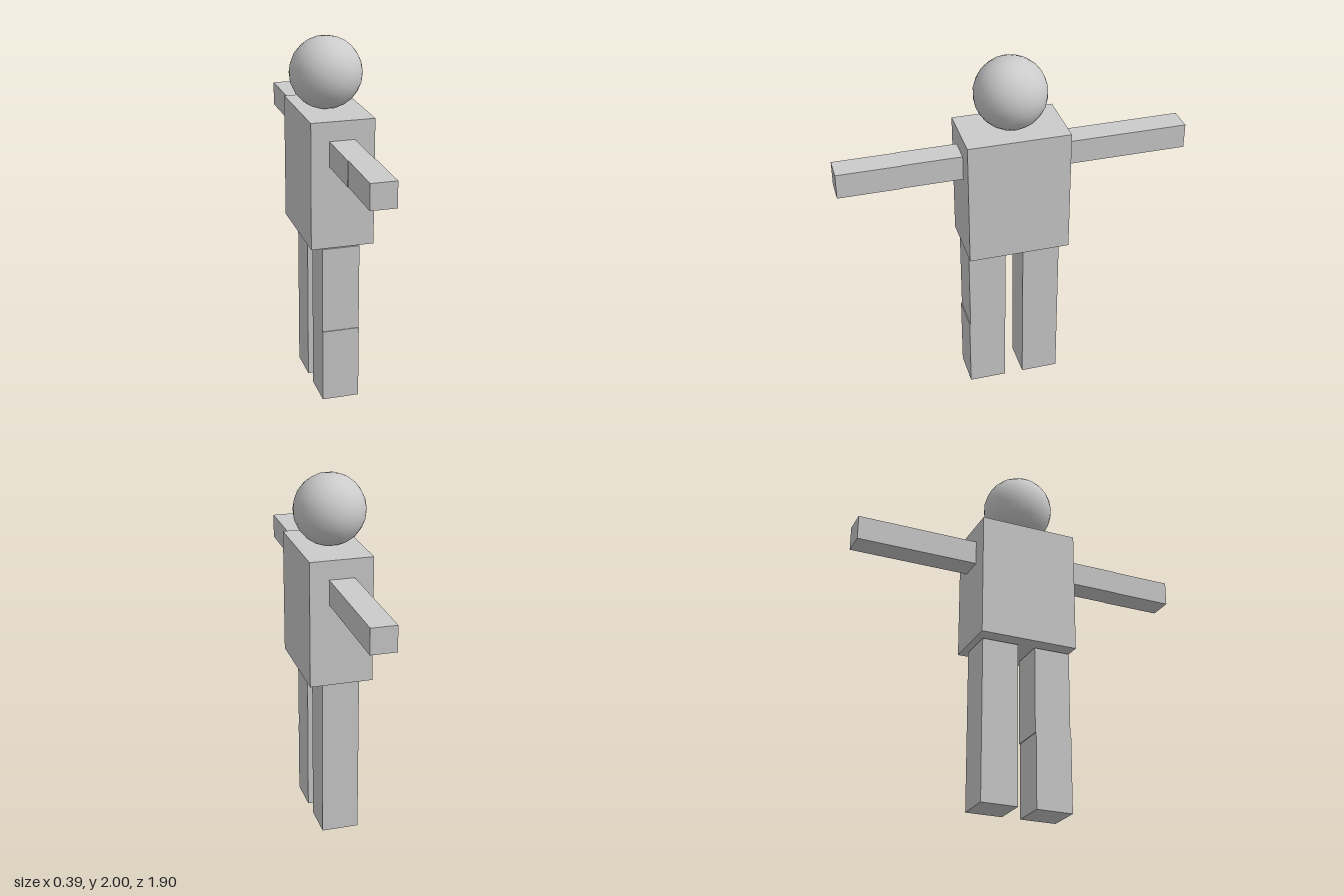
import * as THREE from 'three';

const grey = new THREE.MeshStandardMaterial({ color: 0xcccccc });

// Box given by its [min, max] extents along each axis
function box(name, [x0, x1], [y0, y1], [z0, z1]) {
  const mesh = new THREE.Mesh(new THREE.BoxGeometry(x1 - x0, y1 - y0, z1 - z0), grey);
  mesh.name = name;
  mesh.position.set((x0 + x1) / 2, (y0 + y1) / 2, (z0 + z1) / 2);
  return mesh;
}

export function createModel() {
  const model = new THREE.Group();
  model.name = 'blockFigure';

  // Head: smooth-shaded faceted ball resting on the torso
  const head = new THREE.Mesh(new THREE.IcosahedronGeometry(0.196, 3), grey);
  head.name = 'head';
  head.position.set(-0.001, 1.804, 0.008);
  model.add(head);

  model.add(box('torso', [-0.16, 0.186], [0.917, 1.615], [-0.269, 0.287]));

  // Arms stretched out along z, each an upper arm and a forearm
  const armY = [1.373, 1.51];
  model.add(
    box('frontUpperArm', [-0.061, 0.077], armY, [0.287, 0.612]),
    box('frontForearm', [-0.057, 0.081], armY, [0.612, 0.952]),
    box('backUpperArm', [-0.057, 0.081], armY, [-0.612, -0.269]),
    box('backForearm', [-0.057, 0.081], armY, [-0.952, -0.612]),
  );

  // Legs, each a thigh and a shin
  const legX = [-0.095, 0.111];
  const thighY = [0.419, 0.907];
  const shinY = [0, 0.419];
  model.add(
    box('frontThigh', legX, thighY, [0.069, 0.276]),
    box('frontShin', legX, shinY, [0.074, 0.281]),
    box('backThigh', legX, thighY, [-0.238, -0.031]),
    box('backShin', legX, shinY, [-0.238, -0.031]),
  );

  return model;
}
